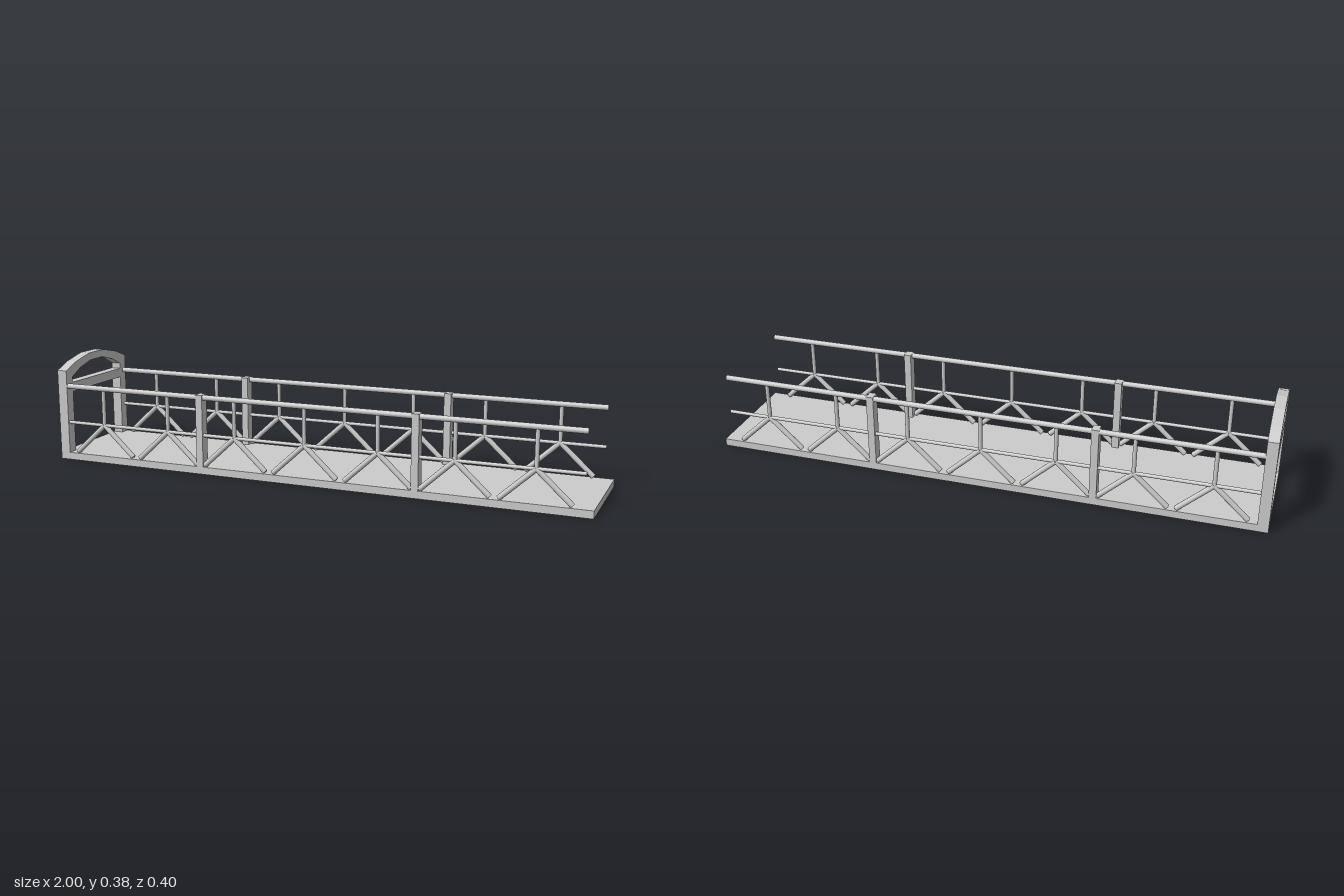
import * as THREE from 'three';

const material = new THREE.MeshStandardMaterial({ color: 0xcccccc });

function box(name, x0, x1, y0, y1, z0, z1) {
  const mesh = new THREE.Mesh(new THREE.BoxGeometry(x1 - x0, y1 - y0, z1 - z0), material);
  mesh.name = name;
  mesh.position.set((x0 + x1) / 2, (y0 + y1) / 2, (z0 + z1) / 2);
  return mesh;
}

// Round bar between two points in the plane of a railing
function bar(name, x0, y0, x1, y1, radius) {
  const dir = new THREE.Vector3(x1 - x0, y1 - y0, 0);
  const mesh = new THREE.Mesh(new THREE.CylinderGeometry(radius, radius, dir.length(), 16), material);
  mesh.name = name;
  mesh.position.set((x0 + x1) / 2, (y0 + y1) / 2, 0);
  mesh.quaternion.setFromUnitVectors(new THREE.Vector3(0, 1, 0), dir.normalize());
  return mesh;
}

// Arched end frame, drawn as half outlines mirrored about the centre
function createArch() {
  const outer = [[0.202, 0.027], [0.202, 0.339], [0.135, 0.365], [0.049, 0.384]];
  const inner = [[0.163, 0.027], [0.163, 0.311], [0.111, 0.337], [0.04, 0.356]];
  const flip = (pts) => pts.map(([z, y]) => [-z, y]).reverse();
  const outline = [...outer, ...flip(outer), ...flip(inner).reverse(), ...inner.slice().reverse()];
  const shape = new THREE.Shape(outline.map(([z, y]) => new THREE.Vector2(z, y)));
  const geometry = new THREE.ExtrudeGeometry(shape, { depth: 0.038, bevelEnabled: false });
  geometry.rotateY(Math.PI / 2);
  const mesh = new THREE.Mesh(geometry, material);
  mesh.name = 'endArch';
  mesh.position.x = -1;
  return mesh;
}

function createRailing(side) {
  const railing = new THREE.Group();
  railing.name = side > 0 ? 'frontRailing' : 'backRailing';
  railing.position.z = side * 0.19;

  // Long rails
  railing.add(bar('topRail', -0.965, 0.28, 0.97, 0.28, 0.01));
  railing.add(bar('middleRail', -0.965, 0.142, 0.97, 0.142, 0.0065));

  // Uprights with a pair of braces spreading below each
  for (let i = -3; i <= 3; i++) {
    const x = i * 0.27;
    railing.add(bar('upright', x, 0.142, x, 0.28, 0.0075));
    for (const s of [-1, 1]) {
      railing.add(bar('brace', x, 0.142, x + s * 0.12, 0.032, 0.0095));
    }
  }

  // Square posts
  for (const x of [-0.405, 0.405]) {
    const post = box('post', x - 0.013, x + 0.013, 0.027, 0.29, -0.0185, 0.0185);
    post.position.z = -side * 0.0065;
    railing.add(post);
  }
  return railing;
}

export function createModel() {
  const model = new THREE.Group();
  model.name = 'footbridge';
  model.add(box('deck', -1, 1, 0, 0.027, -0.202, 0.202));
  model.add(createArch());
  model.add(box('archCrossbar', -1, -0.962, 0.255, 0.29, -0.163, 0.163));
  model.add(createRailing(1), createRailing(-1));
  return model;
}
